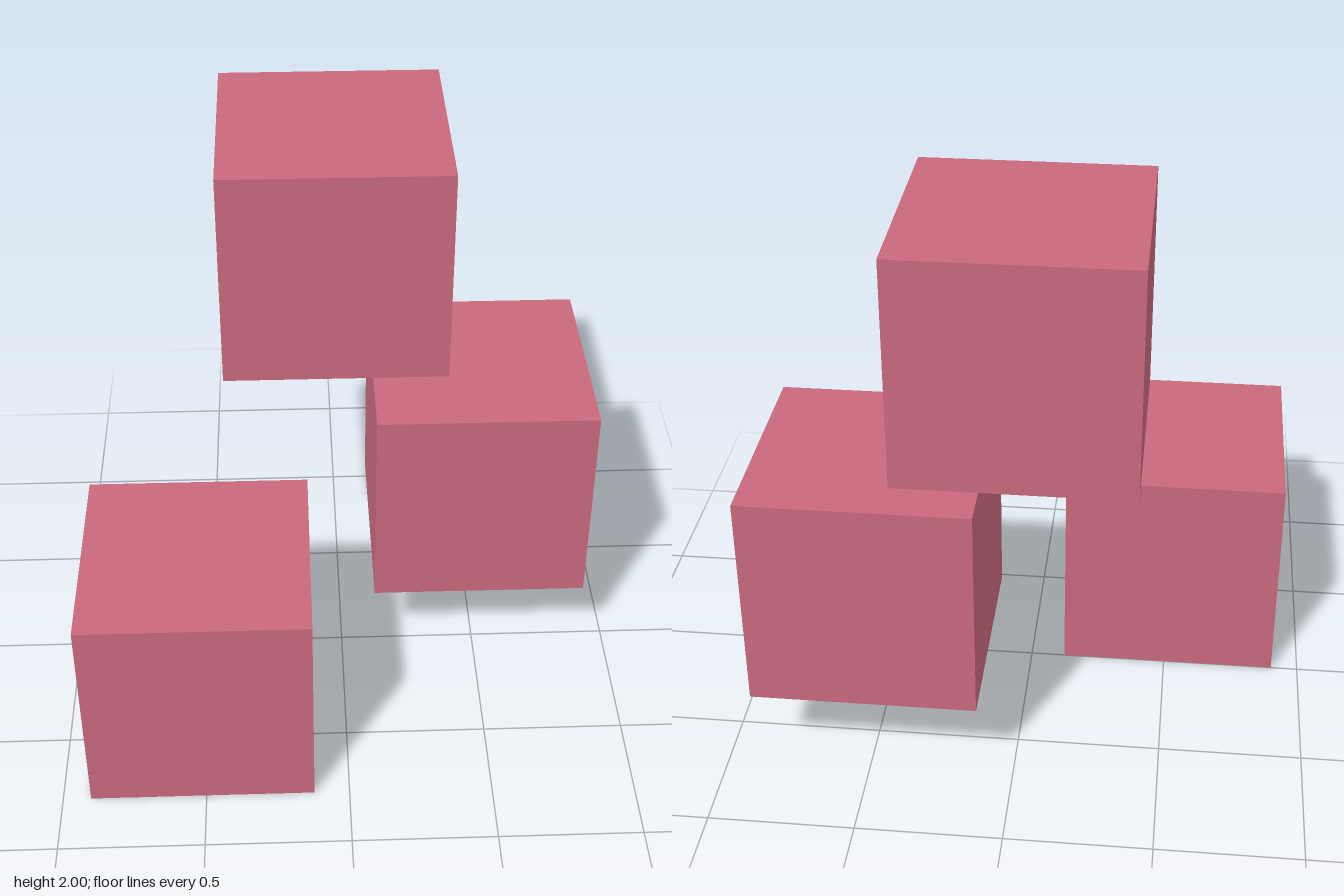
import * as THREE from 'three';

const SIZE = 0.78;

// Three equal cubes floating at staggered heights
const CUBES = [
  { name: 'lowerCube', position: [-0.513, 0.39, 0.39] },
  { name: 'middleCube', position: [0.511, 0.682, -0.317] },
  { name: 'upperCube', position: [-0.018, 1.61, -0.391] },
];

export function createModel() {
  const group = new THREE.Group();
  group.name = 'floatingCubes';

  const geometry = new THREE.BoxGeometry(SIZE, SIZE, SIZE);
  const material = new THREE.MeshStandardMaterial({ color: 0xc9697d });

  for (const { name, position } of CUBES) {
    const cube = new THREE.Mesh(geometry, material);
    cube.name = name;
    cube.position.set(...position);
    group.add(cube);
  }
  return group;
}
